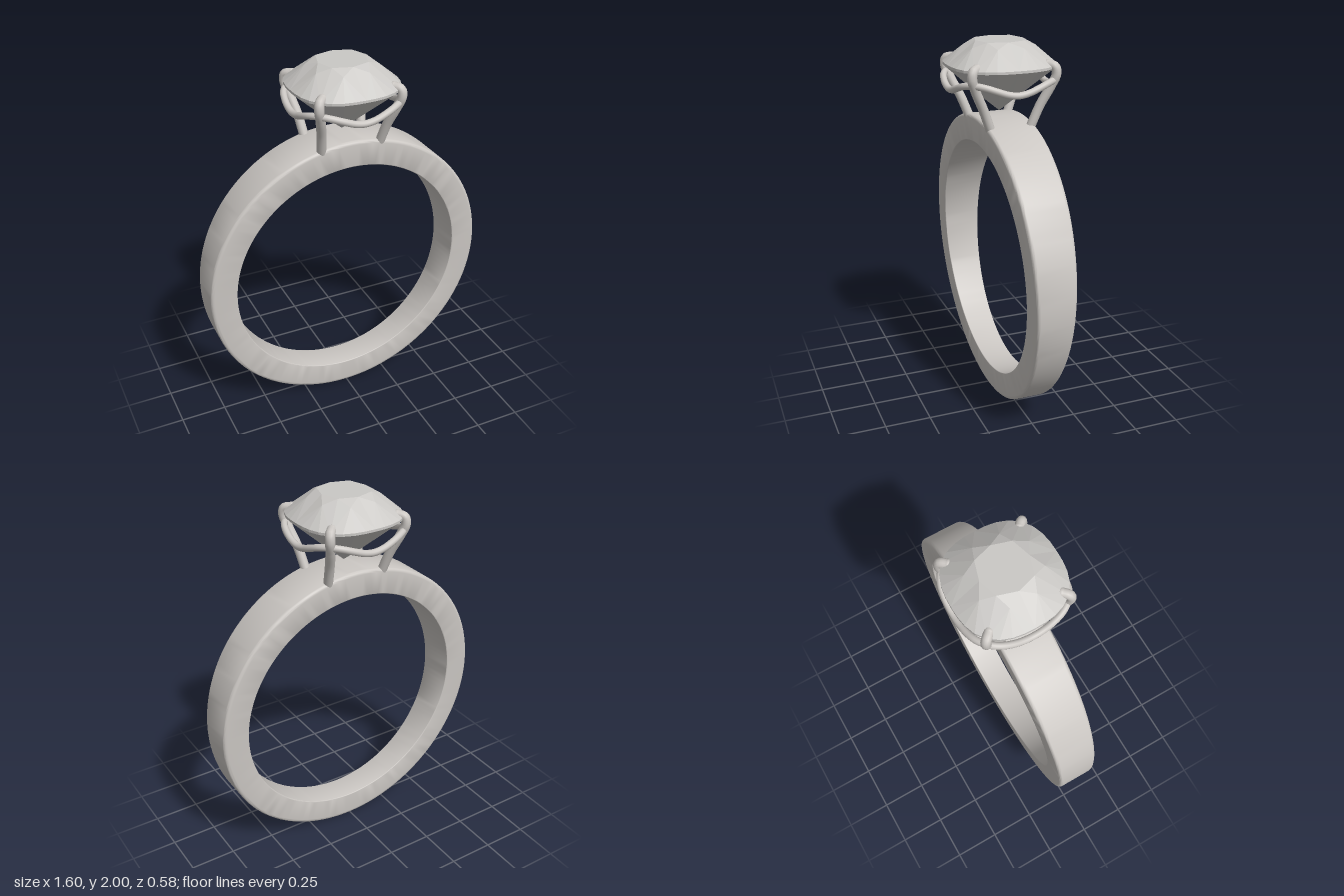
import * as THREE from 'three';
import { toCreasedNormals } from 'three/addons/utils/BufferGeometryUtils.js';

const V = (x, y, z) => new THREE.Vector3(x, y, z);

// Factor that turns a circle into a cushion shape of the given exponent
const cushion = (a, n) =>
  1 / Math.pow(Math.abs(Math.cos(a)) ** n + Math.abs(Math.sin(a)) ** n, 1 / n);

// Band: rounded-rectangle section turned about z, then tapered towards the bottom
function bandGeometry() {
  const rIn = 0.655, rOut = 0.8, pts = [];
  const corner = (r, y, sr, sy, rad, start) => {
    for (let i = 0; i <= 5; i++) {
      const a = start + (i / 5) * Math.PI / 2;
      pts.push(new THREE.Vector2(
        r - sr * rad + Math.cos(a) * rad,
        y - sy * rad * 8 + Math.sin(a) * rad * 8));
    }
  };
  corner(rIn, -1, -1, -1, 0.006, Math.PI);
  corner(rOut, -1, 1, -1, 0.02, -Math.PI / 2);
  corner(rOut, 1, 1, 1, 0.02, 0);
  corner(rIn, 1, -1, 1, 0.006, Math.PI / 2);
  pts.push(pts[0].clone());
  const g = new THREE.LatheGeometry(pts, 128);
  g.rotateX(Math.PI / 2);
  g.translate(0, 0.8, 0);
  const p = g.attributes.position;
  for (let i = 0; i < p.count; i++) p.setZ(i, p.getZ(i) * (0.075 + 0.0375 * p.getY(i)));
  return toCreasedNormals(g, 0.6);
}

// Stone: cushion brilliant with table, star, kite, girdle and pavilion facets
function stoneGeometry() {
  const pos = [], mid = V(0, 1.86, 0);
  const at = (deg, r, y) => {
    const a = deg * Math.PI / 180, k = r * cushion(a, 2.6);
    return V(Math.cos(a) * k, y, Math.sin(a) * k);
  };
  const tri = (a, b, c) => {
    const n = b.clone().sub(a).cross(c.clone().sub(a));
    const out = a.clone().add(b).add(c).divideScalar(3).sub(mid);
    const order = n.dot(out) > 0 ? [a, b, c] : [a, c, b];
    order.forEach(v => pos.push(v.x, v.y, v.z));
  };
  const table = d => at(d, 0.13, 2);
  const star = d => at(d, 0.178, 1.973);
  const top = d => at(d, 0.282, 1.883);
  const low = d => at(d, 0.282, 1.87);
  const pav = d => at(d, 0.08, 1.69);
  const culet = V(0, 1.625, 0);
  for (let k = 0; k < 8; k++) {
    const d = k * 45, m = d + 22.5, e = d + 45;
    tri(V(0, 2, 0), table(d), table(e));
    tri(table(d), star(m), table(e));
    tri(table(d), star(m), top(d));
    tri(table(e), star(m), top(e));
    tri(culet, pav(m), low(d));
    tri(culet, pav(m), low(e));
    for (let i = 0; i < 4; i++) {
      const a = d + i * 11.25, b = a + 11.25;
      tri(star(m), top(a), top(b));
      tri(top(a), top(b), low(a));
      tri(top(b), low(a), low(b));
      tri(pav(m), low(a), low(b));
    }
  }
  const g = new THREE.BufferGeometry();
  g.setAttribute('position', new THREE.Float32BufferAttribute(pos, 3));
  g.computeVertexNormals();
  return g;
}

export function createModel() {
  const metal = new THREE.MeshStandardMaterial({ color: 0xcbc7c3 });
  metal.name = 'silver metal';
  const gem = new THREE.MeshStandardMaterial({ color: 0xcac8c5, flatShading: true });
  gem.name = 'pale stone';

  const model = new THREE.Group();
  model.name = 'solitaireRing';
  const add = (name, geo, mat, parent = model) => {
    const m = new THREE.Mesh(geo, mat);
    m.name = name;
    parent.add(m);
    return m;
  };

  add('band', bandGeometry(), metal);
  add('stone', stoneGeometry(), gem);

  // Four prongs hooking over the corners of the stone
  for (const sx of [1, -1]) for (const sz of [1, -1]) {
    const prong = new THREE.Group();
    prong.name = `${sz > 0 ? 'front' : 'back'}${sx > 0 ? 'Left' : 'Right'}Prong`;
    const path = new THREE.CatmullRomCurve3([
      V(0.165, 1.56, 0.108), V(0.183, 1.68, 0.155), V(0.208, 1.78, 0.203),
      V(0.224, 1.845, 0.226), V(0.22, 1.88, 0.22), V(0.192, 1.89, 0.19),
    ].map(v => V(v.x * sx, v.y, v.z * sz)));
    add('prongWire', new THREE.TubeGeometry(path, 40, 0.025, 14), metal, prong);
    add('prongTip', new THREE.SphereGeometry(0.025, 14, 10), metal, prong)
      .position.copy(path.getPoint(1));
    model.add(prong);
  }

  // Gallery wire dipping between the prongs
  const loop = [];
  for (let i = 0; i < 32; i++) {
    const a = i / 32 * Math.PI * 2, r = 0.272 * cushion(a, 3.1);
    loop.push(V(Math.cos(a) * r, 1.785 - 0.027 * Math.cos(4 * a), Math.sin(a) * r));
  }
  add('galleryWire', new THREE.TubeGeometry(
    new THREE.CatmullRomCurve3(loop, true), 128, 0.018, 12, true), metal);

  return model;
}
